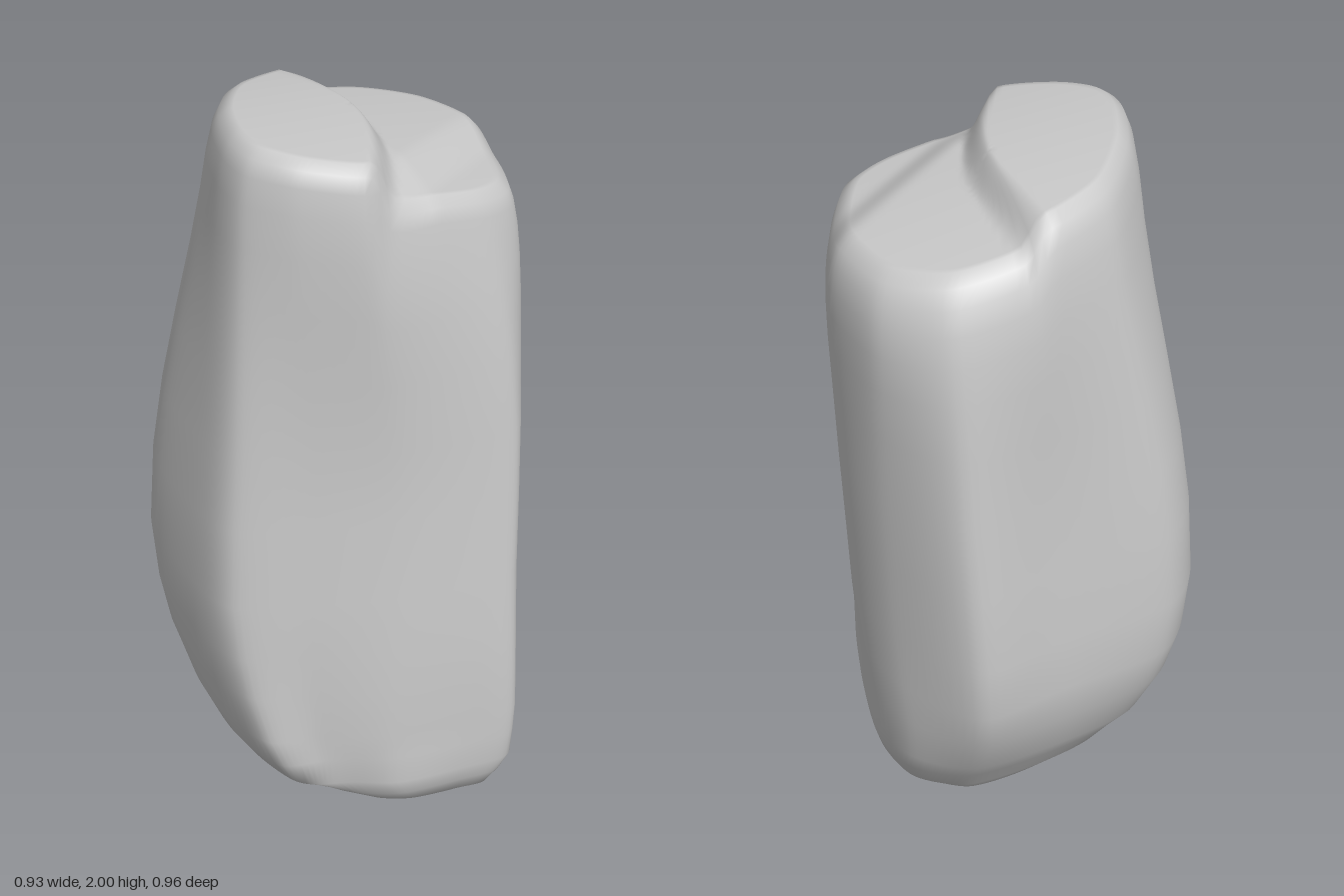
import * as THREE from 'three';

const SEG = 112;
const { lerp, smoothstep } = THREE.MathUtils;

// Outlines (x, z) of the foot, base, body and narrower top, corner matched to corner
const FOOT = [[-0.37, 0.22], [-0.32, 0.34], [-0.16, 0.42], [0.08, 0.465], [0.25, 0.483], [0.33, 0.34], [0.38, 0.15],
  [0.40, -0.06], [0.36, -0.23], [0.22, -0.33], [0, -0.33], [-0.22, -0.28], [-0.36, -0.13], [-0.40, 0.06]];
const BASE = [[-0.37, 0.26], [-0.26, 0.31], [-0.11, 0.40], [0.10, 0.46], [0.24, 0.483], [0.315, 0.33], [0.365, 0.15],
  [0.40, -0.08], [0.36, -0.24], [0.22, -0.33], [0, -0.33], [-0.22, -0.28], [-0.36, -0.13], [-0.40, 0.06]];
const BODY = [[-0.43, 0.17], [-0.26, 0.27], [-0.06, 0.36], [0.12, 0.41], [0.25, 0.425], [0.32, 0.33], [0.38, 0.16],
  [0.445, -0.05], [0.41, -0.25], [0.27, -0.465], [0.03, -0.43], [-0.29, -0.40], [-0.42, -0.25], [-0.455, 0.03]];
const TOP = [[-0.34, 0.14], [-0.27, 0.24], [-0.14, 0.32], [0.04, 0.335], [0.20, 0.33], [0.305, 0.28], [0.38, 0.14],
  [0.435, -0.04], [0.40, -0.24], [0.27, -0.36], [0.07, -0.37], [-0.14, -0.29], [-0.27, -0.13], [-0.335, 0.03]];

// Extents at each height: y, xMin, xMax, zMin, zMax
const LEVELS = [
  [0.00, 0.05, 0.15, 0.14, 0.27], [0.04, -0.03, 0.20, -0.02, 0.36], [0.10, -0.15, 0.27, -0.18, 0.44],
  [0.15, -0.25, 0.32, -0.23, 0.465], [0.20, -0.34, 0.37, -0.27, 0.48], [0.28, -0.39, 0.395, -0.32, 0.483],
  [0.36, -0.42, 0.41, -0.38, 0.483], [0.50, -0.45, 0.42, -0.445, 0.478], [0.62, -0.462, 0.428, -0.475, 0.468],
  [0.78, -0.47, 0.435, -0.48, 0.455], [1.00, -0.455, 0.445, -0.468, 0.435], [1.20, -0.435, 0.453, -0.453, 0.42],
  [1.40, -0.415, 0.46, -0.442, 0.40], [1.60, -0.395, 0.465, -0.432, 0.38], [1.76, -0.38, 0.465, -0.42, 0.365],
  [1.87, -0.37, 0.462, -0.405, 0.35], [1.94, -0.358, 0.45, -0.385, 0.34], [1.98, -0.342, 0.432, -0.36, 0.33],
  [2.00, -0.315, 0.405, -0.33, 0.305]];

// Smooth outline, normalised to its own bounding box
function outline(points) {
  const curve = new THREE.CatmullRomCurve3(points.map(([x, z]) => new THREE.Vector3(x, 0, z)), true, 'catmullrom', 0.4);
  const pts = Array.from({ length: SEG }, (_, i) => curve.getPoint(i / SEG));
  const box = new THREE.Box3().setFromPoints(pts);
  const size = box.getSize(new THREE.Vector3());
  return pts.map(p => [(p.x - box.min.x) / size.x, (p.z - box.min.z) / size.z]);
}

// Height of the broken top: raised slab on one side, lower slab with a chipped front corner
function topHeight(x, z) {
  const ridge = 0.09 - 0.95 * Math.pow(Math.max(0, z + 0.1), 2) - 0.2 * Math.pow(Math.min(0, z + 0.1), 2);
  const high = 2.0 - 0.09 * Math.max(0, x + 0.3) - 0.2 * z * z;
  const chip = smoothstep(z - (0.2 - 0.6 * (x - 0.1)), -0.07, 0.08);
  const low = 1.9 - 0.18 * Math.max(0, x - 0.06) - 0.04 * chip - 0.15 * z * z;
  return lerp(high, low, smoothstep(x, ridge - 0.05, ridge + 0.015));
}

function rockGeometry() {
  const foot = outline(FOOT), base = outline(BASE), body = outline(BODY), top = outline(TOP);
  const position = [], index = [];

  // Level rings bend to follow the uneven top as they near it
  const place = (x, y, z) => {
    const f = smoothstep(y, 1.35, 2);
    // small notch at the lower front edge
    const d = ((x + 0.19) / 0.08) ** 2 + ((y - 0.19) / 0.06) ** 2;
    const notch = z > 0.1 ? 0.025 * Math.exp(-d) : 0;
    position.push(x, y - f * (2 - topHeight(x, z)), z - notch);
  };
  const ring = ([y, x0, x1, z0, z1], scale) => {
    const first = smoothstep(y, 0.1, 0.3), low = smoothstep(y, 0.2, 0.8), high = smoothstep(y, 1.0, 1.98);
    const mix = (i, k) => lerp(lerp(lerp(foot[i][k], base[i][k], first), body[i][k], low), top[i][k], high);
    const cx = (x0 + x1) / 2, cz = (z0 + z1) / 2;
    for (let i = 0; i < SEG; i++) {
      place(lerp(cx, lerp(x0, x1, mix(i, 0)), scale), y, lerp(cz, lerp(z0, z1, mix(i, 1)), scale));
    }
  };

  LEVELS.forEach(level => ring(level, 1));
  const last = LEVELS[LEVELS.length - 1];
  const CAP = 24;
  for (let k = 1; k < CAP; k++) ring(last, 1 - k / CAP);

  const rings = LEVELS.length + CAP - 1;
  for (let r = 0; r < rings - 1; r++) {
    for (let i = 0; i < SEG; i++) {
      const j = (i + 1) % SEG;
      const a = r * SEG + i, b = r * SEG + j, c = a + SEG, d = b + SEG;
      index.push(a, b, d, a, d, c);
    }
  }

  // Close the underside and the middle of the top
  const bottom = rings * SEG, crown = bottom + 1, start = (rings - 1) * SEG;
  place(0.1, 0, 0.2);
  place((last[1] + last[2]) / 2, 2, (last[3] + last[4]) / 2);
  for (let i = 0; i < SEG; i++) {
    const j = (i + 1) % SEG;
    index.push(bottom, j, i, crown, start + i, start + j);
  }

  const geometry = new THREE.BufferGeometry();
  geometry.setAttribute('position', new THREE.Float32BufferAttribute(position, 3));
  geometry.setIndex(index);
  geometry.computeVertexNormals();
  return geometry;
}

export function createModel() {
  const group = new THREE.Group();
  group.name = 'standingStone';
  const stone = new THREE.MeshStandardMaterial({ color: 0xc8c8c8 });
  stone.name = 'stone grey';
  const rock = new THREE.Mesh(rockGeometry(), stone);
  rock.name = 'rock';
  group.add(rock);
  return group;
}
